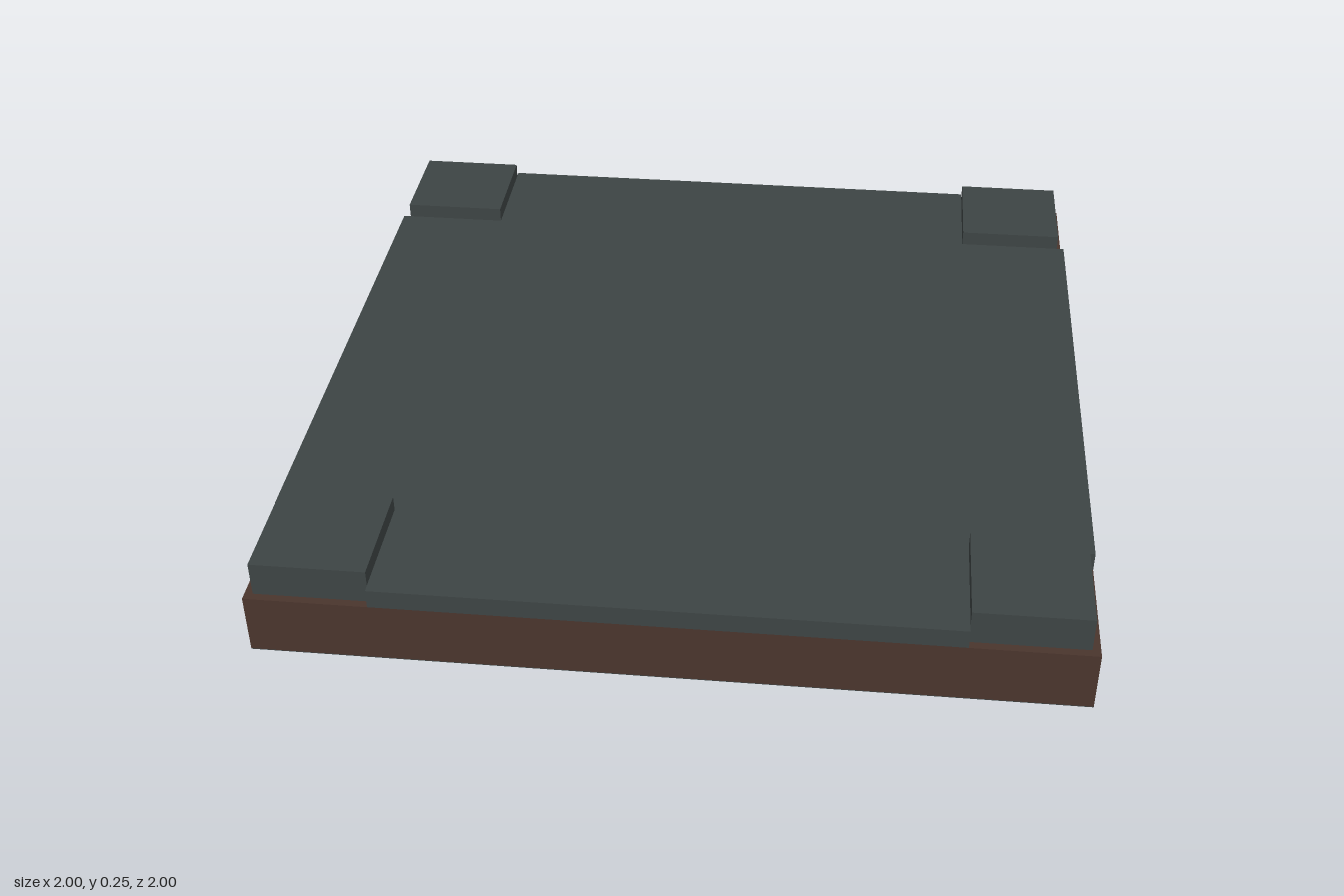
import * as THREE from 'three';

export function createModel() {
  const model = new THREE.Group();
  const wood = new THREE.MeshStandardMaterial({ color: 0x4a352d });
  wood.name = 'dark brown';
  const slate = new THREE.MeshStandardMaterial({ color: 0x3d4444 });
  slate.name = 'dark slate';

  const box = (name, material, size, position) => {
    const mesh = new THREE.Mesh(new THREE.BoxGeometry(...size), material);
    mesh.name = name;
    mesh.position.set(...position);
    model.add(mesh);
  };

  // square base
  box('base', wood, [2, 0.158, 2], [0, 0.081, 0]);

  // thin strip under the front edge
  box('frontUnderStrip', slate, [2, 0.002, 0.05], [0, 0.001, 0.975]);
  // rest of the underside
  box('underside', wood, [2, 0.002, 1.95], [0, 0.001, -0.025]);

  // cross-shaped top slab, notched at the corners
  const a = 1, n = 0.7;
  const cross = new THREE.Shape([
    [-n, -a], [n, -a], [n, -n], [a, -n], [a, n], [n, n],
    [n, a], [-n, a], [-n, n], [-a, n], [-a, -n], [-n, -n],
  ].map(([x, y]) => new THREE.Vector2(x, y)));
  const slabGeometry = new THREE.ExtrudeGeometry(cross, { depth: 0.05, bevelEnabled: false });
  slabGeometry.rotateX(-Math.PI / 2);
  const slab = new THREE.Mesh(slabGeometry, slate);
  slab.name = 'topSlab';
  slab.position.y = 0.16;
  model.add(slab);

  // raised corner blocks standing in the notches
  for (const x of [-1, 1]) {
    for (const z of [-1, 1]) {
      box('cornerBlock', slate, [0.28, 0.09, 0.28], [x * 0.84, 0.205, z * 0.84]);
    }
  }
  return model;
}
